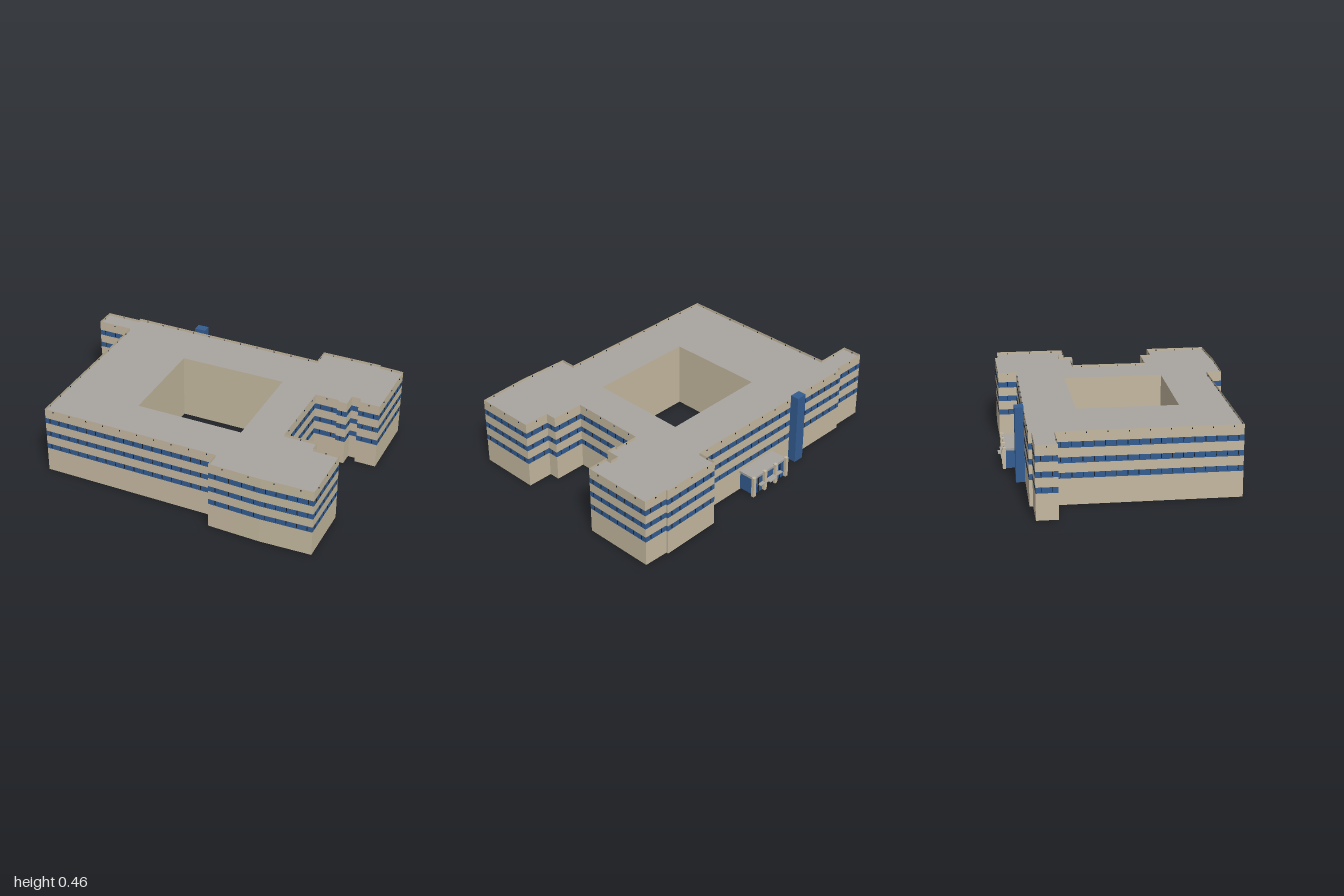
import * as THREE from 'three';
import { mergeGeometries } from 'three/addons/utils/BufferGeometryUtils.js';

const TOP = 0.432, ROOF = 0.415;
const WINDOW_ROWS = [[0.156, 0.19], [0.246, 0.28], [0.335, 0.37]];

// Outer footprint as [x, z], counter-clockwise seen from above
const OUTLINE = [
  [-0.78, 0.62], [0.33, 0.62], [0.33, 0.715], [0.5, 0.72], [0.65, 0.724], [0.96, 0.71],
  [0.96, 0.33], [0.8, 0.33], [0.8, 0.262], [0.6, 0.262], [0.605, -0.21], [0.75, -0.21],
  [0.75, -0.195], [0.81, -0.195], [0.81, -0.28], [0.865, -0.28], [0.865, -0.245], [0.997, -0.245],
  [0.997, -0.682], [0.845, -0.687], [0.845, -0.7], [0.47, -0.697], [0.47, -0.582], [0, -0.585],
  [-0.78, -0.59], [-0.78, -0.57], [-1, -0.57], [-1, -0.445], [-0.78, -0.445],
];
// Courtyard footprint, clockwise so its walls face inward
const COURT = [[-0.31, 0.33], [-0.31, -0.28], [0.36, -0.285], [0.357, 0.33]];

const mat = (name, color, side = THREE.FrontSide) => {
  const m = new THREE.MeshStandardMaterial({ color, side });
  m.name = name;
  return m;
};

// Vertical strip following a closed footprint between two heights
function ribbon(points, y0, y1) {
  const v = [];
  points.forEach(([ax, az], i) => {
    const [bx, bz] = points[(i + 1) % points.length];
    v.push(ax, y0, az, bx, y0, bz, bx, y1, bz, ax, y0, az, bx, y1, bz, ax, y1, az);
  });
  const g = new THREE.BufferGeometry();
  g.setAttribute('position', new THREE.Float32BufferAttribute(v, 3));
  g.computeVertexNormals();
  return g;
}

// Small plates spaced along every wall of a footprint
function plates(points, spacing, width, y0, y1) {
  const list = [];
  points.forEach(([ax, az], i) => {
    const [bx, bz] = points[(i + 1) % points.length];
    const dx = bx - ax, dz = bz - az;
    const n = Math.floor(Math.hypot(dx, dz) / spacing);
    for (let k = 0; k < n; k++) {
      const t = (k + 0.5) / n;
      const g = new THREE.BoxGeometry(width, y1 - y0, 0.006);
      g.rotateY(-Math.atan2(dz, dx));
      g.translate(ax + dx * t, (y0 + y1) / 2, az + dz * t);
      list.push(g);
    }
  });
  return list;
}

export function createModel() {
  const stone = mat('beige stone', 0xc4b89f, THREE.DoubleSide);
  const roofGrey = mat('roof grey', 0xa8a5a1, THREE.DoubleSide);
  const glass = mat('blue glass', 0x335c90, THREE.DoubleSide);
  const dark = mat('dark frame', 0x1c2028);

  const model = new THREE.Group();
  model.name = 'courtyardBuilding';
  const add = (name, geometry, material, parent = model) => {
    const mesh = new THREE.Mesh(geometry, material);
    mesh.name = name;
    parent.add(mesh);
    return mesh;
  };
  const box = (name, x0, x1, y0, y1, z0, z1, material, parent) => {
    const g = new THREE.BoxGeometry(x1 - x0, y1 - y0, z1 - z0);
    g.translate((x0 + x1) / 2, (y0 + y1) / 2, (z0 + z1) / 2);
    return add(name, g, material, parent);
  };

  // Outer walls: stone strips alternating with window bands
  let y = 0;
  const stoneStrips = [], glassStrips = [], mullions = [];
  for (const [low, high] of WINDOW_ROWS) {
    stoneStrips.push(ribbon(OUTLINE, y, low));
    glassStrips.push(ribbon(OUTLINE, low, high));
    mullions.push(...plates(OUTLINE, 0.06, 0.004, low + 0.008, high));
    y = high;
  }
  stoneStrips.push(ribbon(OUTLINE, y, TOP));
  add('outerWalls', mergeGeometries(stoneStrips), stone);
  add('windowBands', mergeGeometries(glassStrips), glass);
  add('windowMullions', mergeGeometries(mullions), dark);
  add('parapetDrains', mergeGeometries(plates(OUTLINE, 0.11, 0.005, 0.417, 0.425)), dark);

  // Plain courtyard walls
  add('courtyardWalls', ribbon(COURT, 0, ROOF), stone);

  // Flat roof with courtyard opening, set just below the parapet
  const toShape = ([x, z]) => new THREE.Vector2(x, -z);
  const shape = new THREE.Shape(OUTLINE.map(toShape));
  shape.holes.push(new THREE.Path(COURT.map(toShape)));
  const roof = add('roof', new THREE.ShapeGeometry(shape).rotateX(-Math.PI / 2), roofGrey);
  roof.position.y = ROOF;

  // Glazed stair tower on the back wall
  box('stairTower', -0.38, -0.31, 0, 0.455, -0.642, -0.588, glass);

  // Rear entrance pavilion
  const entrance = new THREE.Group();
  entrance.name = 'entrance';
  model.add(entrance);
  box('entranceGlass', -0.148, 0.125, 0.01, 0.122, -0.69, -0.586, glass, entrance);
  box('entranceRoof', -0.155, 0.132, 0.122, 0.136, -0.697, -0.586, roofGrey, entrance);
  for (const x of [-0.155, -0.06, 0.035, 0.132]) {
    box('entrancePost', x - 0.01, x + 0.01, 0.01, 0.142, -0.708, -0.688, stone, entrance);
  }
  for (const x of [-0.108, 0.083]) {
    box('entranceFrame', x - 0.003, x + 0.003, 0.01, 0.122, -0.694, -0.69, dark, entrance);
  }
  // Stepped canopy over the doors
  box('canopyBack', -0.11, 0.085, 0.064, 0.07, -0.715, -0.69, roofGrey, entrance);
  box('canopyFront', -0.042, 0.018, 0.064, 0.07, -0.73, -0.715, roofGrey, entrance);
  box('doors', -0.045, 0.02, 0.01, 0.06, -0.695, -0.69, dark, entrance);

  return model;
}
